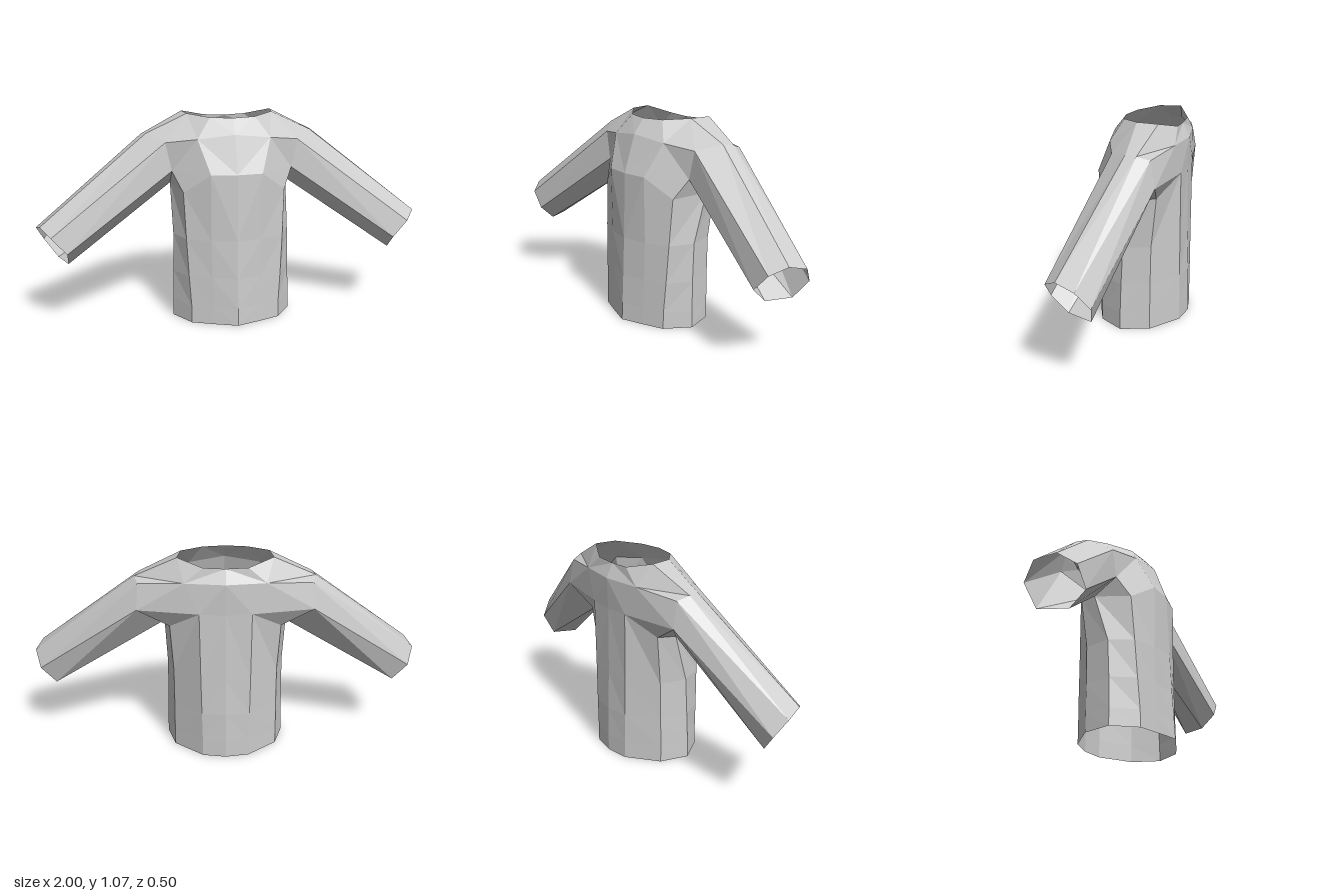
import * as THREE from 'three';

const material = new THREE.MeshStandardMaterial({
  color: 0xcccccc, flatShading: true, side: THREE.DoubleSide,
});

// Quads between successive rows of points
function grid(rows) {
  const faces = [];
  for (let r = 0; r + 1 < rows.length; r++) {
    for (let i = 0; i + 1 < rows[r].length; i++) {
      faces.push([rows[r][i], rows[r][i + 1], rows[r + 1][i + 1], rows[r + 1][i]]);
    }
  }
  return faces;
}

// Fans each polygon into triangles; side -1 mirrors across x and flips the winding
function panel(name, faces, side) {
  const pos = [];
  for (const f of faces) {
    for (let i = 1; i + 1 < f.length; i++) {
      const tri = side > 0 ? [f[0], f[i], f[i + 1]] : [f[0], f[i + 1], f[i]];
      for (const [x, y, z] of tri) pos.push(x * side, y, z);
    }
  }
  const geometry = new THREE.BufferGeometry();
  geometry.setAttribute('position', new THREE.Float32BufferAttribute(pos, 3));
  geometry.computeVertexNormals();
  const mesh = new THREE.Mesh(geometry, material);
  mesh.name = name;
  return mesh;
}

// Half cross-section at a height, from front centre round to back centre
const ring = (y, points) => points.map(([x, z]) => [x, y, z]);

export function createModel() {
  const group = new THREE.Group();
  group.name = 'sweater';

  // Sleeve loops: front, top, back, underside
  const root = [
    [0.34, 0.935, 0.065], [0.43, 0.968, -0.035], [0.45, 0.96, -0.09], [0.43, 0.94, -0.15],
    [0.44, 0.81, -0.175], [0.31, 0.705, -0.05], [0.31, 0.79, 0.07],
  ];
  const cuff = [
    [0.92, 0.5, 0.18], [0.975, 0.54, 0.11], [1, 0.515, 0.015], [0.97, 0.435, -0.045],
    [0.9, 0.34, -0.02], [0.845, 0.34, 0.105], [0.845, 0.415, 0.185],
  ];
  const [rFront, rTop, rTopBack, rBack, rLow, rPit, rPitFront] = root;

  // Torso rings, the last one rising and falling around the armhole
  const chest = [
    [0, 0.79, 0.22], [0.13, 0.79, 0.205], [0.26, 0.69, 0.13], rPit,
    [0.28, 0.71, -0.14], [0.13, 0.805, -0.225], [0, 0.8, -0.23],
  ];
  const torso = grid([
    ring(0, [[0, 0.25], [0.12, 0.208], [0.23, 0.165], [0.315, 0.04], [0.27, -0.105], [0.12, -0.225], [0, -0.245]]),
    ring(0.09, [[0, 0.246], [0.12, 0.206], [0.23, 0.163], [0.313, 0.04], [0.27, -0.105], [0.12, -0.225], [0, -0.245]]),
    ring(0.25, [[0, 0.238], [0.125, 0.202], [0.24, 0.155], [0.308, 0.035], [0.268, -0.106], [0.123, -0.225], [0, -0.243]]),
    ring(0.45, [[0, 0.23], [0.13, 0.2], [0.25, 0.145], [0.305, 0.025], [0.267, -0.11], [0.126, -0.224], [0, -0.235]]),
    chest,
  ]);

  // Neckline and yoke points
  const neck = [
    [0, 1.055, 0.095], [0.115, 1.057, 0.07], [0.22, 1.067, -0.025],
    [0.235, 1.067, -0.135], [0.11, 1.035, -0.2], [0, 1.03, -0.2],
  ];
  const yokeFront = [[0, 0.98, 0.155], [0.185, 0.957, 0.125]];
  const yokeBack = [[0.2, 0.96, -0.21], [0, 0.96, -0.237]];
  const front = yokeFront[1], back = yokeBack[0];

  const yoke = [
    ...grid([chest.slice(0, 2), yokeFront, neck.slice(0, 2)]),
    ...grid([chest.slice(5), yokeBack, neck.slice(4)]),
    // front of the armhole
    [chest[1], rPitFront, front], [front, rPitFront, rFront], [chest[1], chest[2], rPitFront],
    // underarm
    [chest[2], rPit, rPitFront], [rPit, chest[4], rLow], [chest[4], chest[5], rLow],
    // back of the armhole
    [chest[5], back, rLow], [rLow, back, rBack],
    // top of the shoulder
    [front, rFront, neck[2], neck[1]], [rFront, rTop, neck[2]],
    [rTop, rTopBack, neck[3], neck[2]], [rTopBack, rBack, back, neck[3]],
    [back, neck[4], neck[3]],
  ];

  const sleeve = grid([[...cuff, cuff[0]], [...root, root[0]]]);

  for (const [label, side] of [['left', 1], ['right', -1]]) {
    group.add(
      panel(label + 'Torso', torso, side),
      panel(label + 'Yoke', yoke, side),
      panel(label + 'Sleeve', sleeve, side),
    );
  }
  return group;
}
